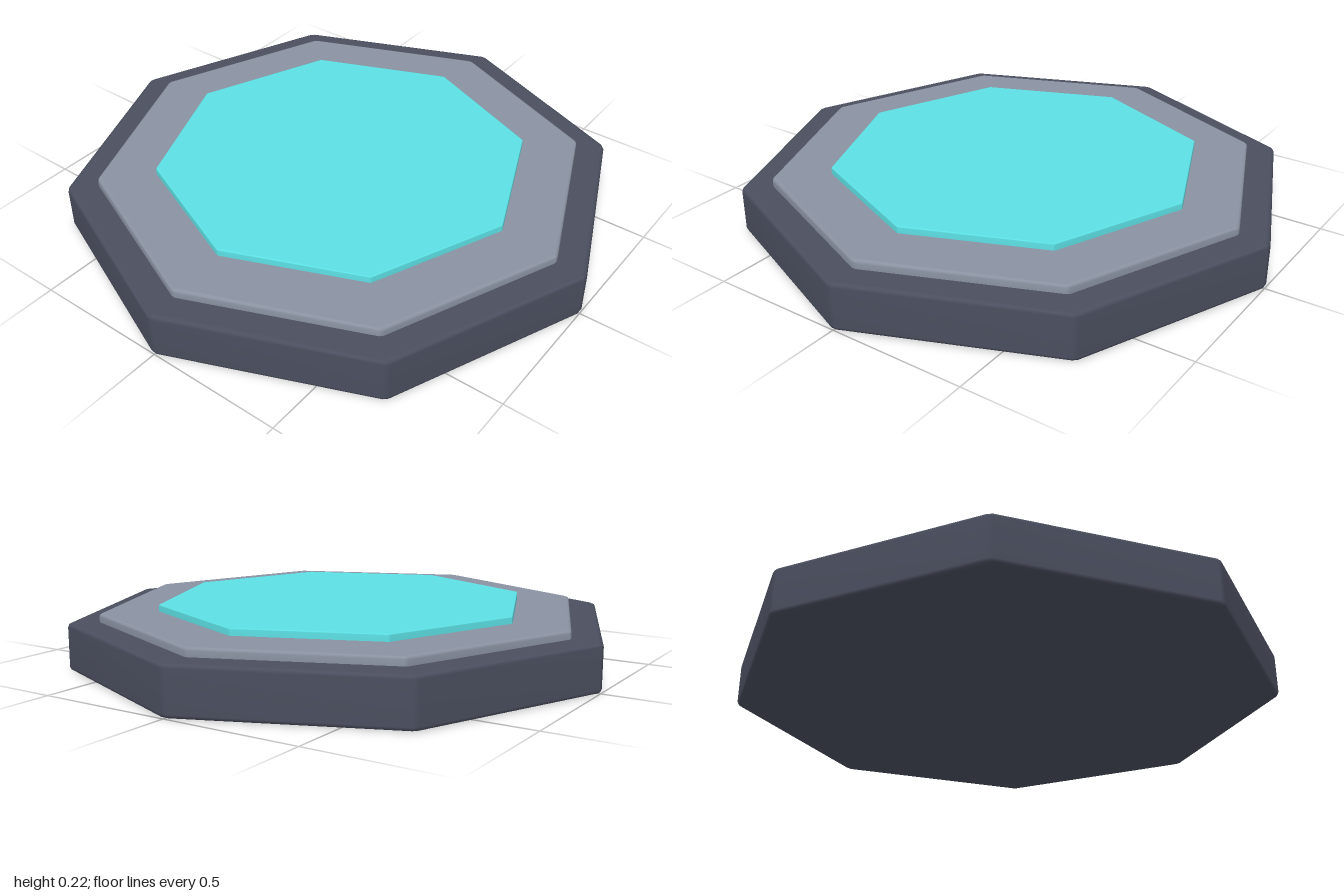
import * as THREE from 'three';
import { mergeVertices } from 'three/addons/utils/BufferGeometryUtils.js';

const mat = (name, color) => {
  const m = new THREE.MeshStandardMaterial({ color });
  m.name = name;
  return m;
};

// Octagonal slab with softly bevelled edges and slightly cut corners
function octagonSlab(name, radius, bottom, top, bevel, material) {
  const cut = bevel * 0.8;
  const tip = radius + cut * Math.cos(Math.PI * 3 / 8);
  const corner = i => new THREE.Vector2(
    Math.cos(i * Math.PI / 4) * tip, Math.sin(i * Math.PI / 4) * tip);
  const points = [];
  for (let i = 0; i < 8; i++) {
    const c = corner(i);
    for (const side of [-1, 1]) {
      const along = corner(i + side).sub(c).setLength(cut);
      points.push(c.clone().add(along));
    }
  }
  let geo = new THREE.ExtrudeGeometry(new THREE.Shape(points), {
    depth: top - bottom - 2 * bevel,
    bevelEnabled: true,
    bevelSize: bevel,
    bevelThickness: bevel,
    bevelOffset: -bevel,
    bevelSegments: 2,
  });
  geo.rotateX(-Math.PI / 2);
  geo.translate(0, bottom + bevel, 0);
  // Shared vertices give smooth shading across the bevels
  geo.deleteAttribute('normal');
  geo.deleteAttribute('uv');
  geo = mergeVertices(geo, 1e-4);
  geo.computeVertexNormals();
  const mesh = new THREE.Mesh(geo, material);
  mesh.name = name;
  return mesh;
}

export function createModel() {
  const group = new THREE.Group();
  group.name = 'octagonalPad';
  group.add(
    octagonSlab('base', 1, 0, 0.17, 0.014, mat('dark slate', 0x4a4e5e)),
    octagonSlab('rimPlate', 0.89, 0.15, 0.2, 0.01, mat('steel grey', 0x8a92a2)),
    octagonSlab('glowPanel', 0.68, 0.185, 0.225, 0.004, mat('bright cyan', 0x5ce0e4)),
  );
  return group;
}
